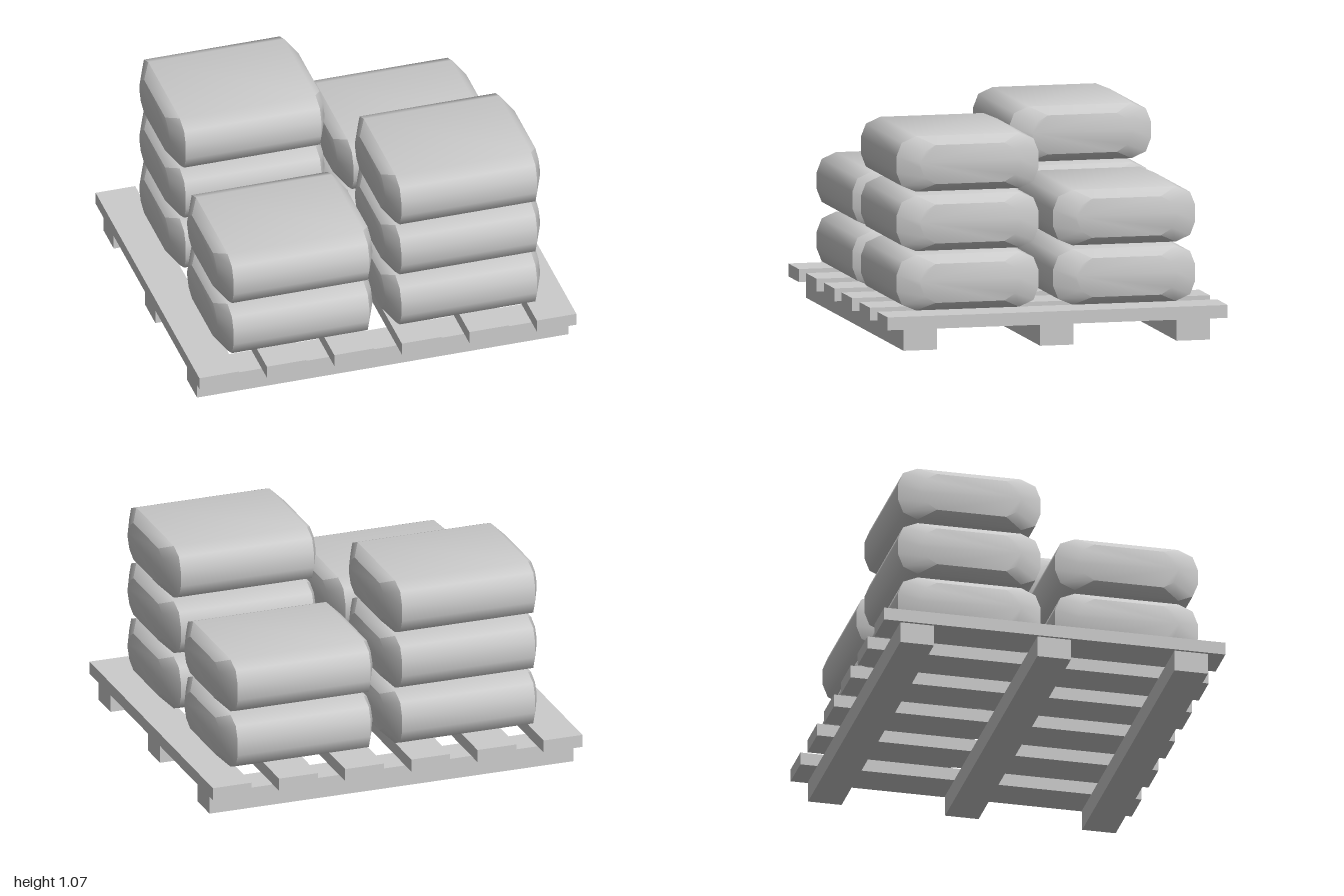
import * as THREE from 'three';
import { toCreasedNormals } from 'three/addons/utils/BufferGeometryUtils.js';

const grey = new THREE.MeshStandardMaterial({ color: 0xcccccc });

// Mirror one quarter outline [z, y] into a full 12-point ring, turning from +z to +y.
function ring(quarter) {
  const back = [...quarter].reverse();
  return [
    ...quarter,
    ...back.map(([z, y]) => [-z, y]),
    ...quarter.map(([z, y]) => [-z, -y]),
    ...back.map(([z, y]) => [z, -y]),
  ];
}

// Filled sack: constant rounded body along x, tapering to a flat face at each end.
function sackGeometry() {
  const body = ring([[0.372, 0.042], [0.345, 0.11], [0.27, 0.142]]);
  const end = ring([[0.262, 0.012], [0.237, 0.066], [0.18, 0.1]]);
  const sections = [[-0.41, end], [-0.36, body], [0.36, body], [0.41, end]];
  const n = body.length;
  const positions = [];
  const index = [];
  for (const [x, points] of sections) {
    for (const [z, y] of points) positions.push(x, y, z);
  }
  for (let s = 0; s < sections.length - 1; s++) {
    for (let j = 0; j < n; j++) {
      const a = s * n + j, b = s * n + (j + 1) % n;
      index.push(a, a + n, b, b, a + n, b + n);
    }
  }
  // Flat end faces
  const last = (sections.length - 1) * n;
  for (let j = 1; j < n - 1; j++) {
    index.push(0, j, j + 1, last, last + j + 1, last + j);
  }
  const geometry = new THREE.BufferGeometry();
  geometry.setAttribute('position', new THREE.Float32BufferAttribute(positions, 3));
  geometry.setIndex(index);
  return toCreasedNormals(geometry, 0.85);
}

function addMesh(parent, name, geometry, x, y, z) {
  const mesh = new THREE.Mesh(geometry, grey);
  mesh.name = name;
  mesh.position.set(x, y, z);
  parent.add(mesh);
}

export function createModel() {
  const model = new THREE.Group();
  model.name = 'loadedPallet';

  // Pallet: three runners under six deck boards
  const pallet = new THREE.Group();
  pallet.name = 'pallet';
  model.add(pallet);
  const runner = new THREE.BoxGeometry(1.97, 0.11, 0.175);
  for (const z of [-0.715, 0, 0.715]) addMesh(pallet, 'runner', runner, 0, 0.055, z);
  const board = new THREE.BoxGeometry(0.21, 0.066, 1.78);
  for (let i = 0; i < 6; i++) {
    addMesh(pallet, 'deckBoard', board, -0.895 + i * 0.358, 0.143, 0);
  }

  // Four stacks of sacks: three high on one diagonal, two high on the other
  const sack = sackGeometry();
  const stacks = [
    [0.46, 0.425, 3], [-0.43, 0.425, 2],
    [0.46, -0.395, 2], [-0.43, -0.395, 3],
  ];
  for (const [x, z, count] of stacks) {
    const stack = new THREE.Group();
    stack.name = 'sackStack';
    model.add(stack);
    for (let i = 0; i < count; i++) addMesh(stack, 'sack', sack, x, 0.322 + i * 0.304, z);
  }
  return model;
}
